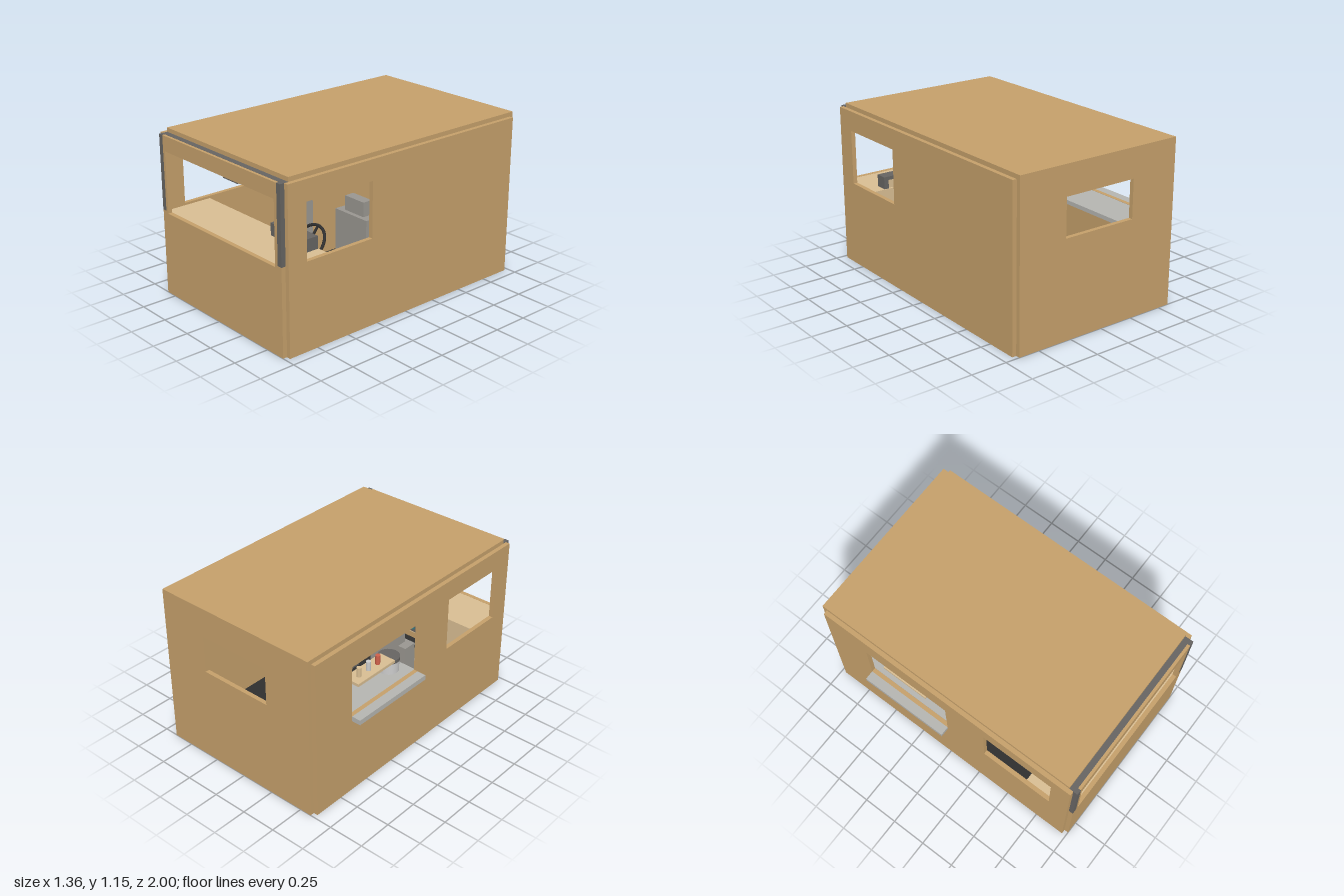
import * as THREE from 'three';

const mat = (color) => new THREE.MeshStandardMaterial({ color });
const wood = mat(0xc49f6a), paleWood = mat(0xd8bd92), dark = mat(0x666462), black = mat(0x2e2e2e);
const grey = mat(0x999690), steel = mat(0xb4b4b0), white = mat(0xe0e0dc), teal = mat(0x2f7f8c);
const red = mat(0xd0604a), mauve = mat(0x74606e);

export function createModel() {
  const root = new THREE.Group();
  const add = (name, geometry, material, parent = root) => {
    const mesh = new THREE.Mesh(geometry, material);
    mesh.name = name;
    parent.add(mesh);
    return mesh;
  };
  // box from its lower and upper limits on each axis
  const box = (name, m, x0, x1, y0, y1, z0, z1, parent) => {
    const b = add(name, new THREE.BoxGeometry(x1 - x0, y1 - y0, z1 - z0), m, parent);
    b.position.set((x0 + x1) / 2, (y0 + y1) / 2, (z0 + z1) / 2);
    return b;
  };
  const rect = (P, u0, u1, v0, v1) => {
    const p = new P();
    p.moveTo(u0, v0);
    p.lineTo(u1, v0);
    p.lineTo(u1, v1);
    p.lineTo(u0, v1);
    p.closePath();
    return p;
  };
  // wall 0.03 thick with rectangular window holes [u0, u1, v0, v1]
  const wall = (name, u0, u1, holes) => {
    const s = rect(THREE.Shape, u0, u1, 0, 1.12);
    holes.forEach((h) => s.holes.push(rect(THREE.Path, ...h)));
    return add(name, new THREE.ExtrudeGeometry(s, { depth: 0.03, bevelEnabled: false }), wood);
  };

  // shell
  wall('frontWall', -0.585, 0.65, [[-0.53, 0.59, 0.585, 1.015]]).position.z = 0.97;
  wall('backWall', -0.585, 0.65, [[-0.235, 0.3, 0.68, 0.945]]).position.z = -1;
  // side walls: u runs along -z
  const cab = [-0.83, -0.305, 0.6, 0.98];
  const left = wall('leftWall', -0.97, 0.97, [cab]);
  const right = wall('rightWall', -0.97, 0.97, [cab, [0, 0.645, 0.58, 0.945]]);
  left.rotation.y = right.rotation.y = Math.PI / 2;
  left.position.x = 0.65;
  right.position.x = -0.615;
  box('roof', wood, -0.585, 0.65, 1.12, 1.15, -1, 0.94);
  box('floor', black, -0.585, 0.65, 0.001, 0.03, -0.97, 0.97);

  // dark trim around the windscreen
  box('windscreenHeader', dark, -0.585, 0.65, 1.09, 1.121, 0.94, 0.98);
  for (const x of [-0.586, 0.616]) box('windscreenPillar', dark, x, x + 0.035, 0.6, 1.121, 0.969, 1.001);

  // dashboard with instrument hood and screen
  box('dashboard', paleWood, -0.585, 0.65, 0.35, 0.584, 0.63, 0.97);
  box('hoodTop', dark, 0.195, 0.55, 0.645, 0.67, 0.635, 0.72);
  for (const x of [0.195, 0.515]) box('hoodSide', dark, x, x + 0.035, 0.584, 0.645, 0.635, 0.72);
  box('instrumentPanel', paleWood, 0.23, 0.515, 0.584, 0.645, 0.645, 0.7);
  box('screenFrame', dark, -0.13, 0.19, 0.37, 0.56, 0.615, 0.635);
  box('screen', teal, -0.11, 0.17, 0.39, 0.54, 0.61, 0.62);

  // steering wheel
  const steering = new THREE.Group();
  steering.name = 'steeringWheel';
  steering.position.set(0.36, 0.54, 0.545);
  steering.rotation.x = -0.66;
  root.add(steering);
  add('rim', new THREE.TorusGeometry(0.12, 0.01, 10, 32), black, steering);
  add('hub', new THREE.CylinderGeometry(0.03, 0.03, 0.02, 20), black, steering).rotation.x = Math.PI / 2;
  for (let i = 0; i < 3; i++) {
    const a = Math.PI / 2 + (i * 2 * Math.PI) / 3;
    const spoke = add('spoke', new THREE.BoxGeometry(0.12, 0.015, 0.01), black, steering);
    spoke.position.set(Math.cos(a) * 0.06, Math.sin(a) * 0.06, 0);
    spoke.rotation.z = a;
  }

  // mirror and sun visors
  box('mirror', dark, -0.04, 0.105, 0.945, 1.03, 0.88, 0.9);
  box('mirrorStem', dark, 0.025, 0.04, 1.03, 1.12, 0.885, 0.895);
  box('sunVisor', paleWood, -0.51, -0.11, 0.98, 1.0, 0.77, 0.93);
  box('sunVisor', paleWood, 0.175, 0.57, 0.98, 1.0, 0.77, 0.93);

  // seats
  for (const x of [-0.2925, 0.3525]) {
    const seat = new THREE.Group();
    seat.name = 'seat';
    seat.position.x = x;
    root.add(seat);
    box('seatBase', dark, -0.11, 0.11, 0.03, 0.2, 0.14, 0.42, seat);
    box('cushion', grey, -0.1475, 0.1475, 0.2, 0.28, 0.09, 0.48, seat);
    box('backrest', grey, -0.1475, 0.1475, 0.28, 0.63, 0.09, 0.19, seat);
    box('headrest', grey, -0.0875, 0.0875, 0.63, 0.73, 0.09, 0.16, seat);
  }

  // serving side: outer ledge, inner counter, hanging cabinet
  box('servingLedge', steel, -0.68, -0.615, 0.545, 0.58, -0.645, 0);
  box('counterBase', wood, -0.584, -0.34, 0.03, 0.55, -0.8, 0);
  box('counterTop', steel, -0.584, -0.32, 0.55, 0.579, -0.8, 0.01);
  box('upperCabinet', wood, -0.584, -0.36, 0.97, 1.12, -0.8, 0);

  // canister with lid
  add('canister', new THREE.CylinderGeometry(0.07, 0.07, 0.081, 32), white).position.set(-0.453, 0.62, -0.1);
  add('canisterLid', new THREE.CylinderGeometry(0.074, 0.074, 0.025, 32), dark).position.set(-0.453, 0.6725, -0.1);

  // bottle shelf
  box('bottleShelf', paleWood, -0.584, -0.465, 0.735, 0.755, -0.55, -0.2);
  [red, white, paleWood].forEach((m, i) => {
    const bottle = add('bottle', new THREE.CylinderGeometry(0.016, 0.016, 0.065, 16), m);
    bottle.position.set(-0.527, 0.7875, -0.3 - i * 0.09);
  });

  // ceiling hatch lining
  box('hatchFrame', grey, -0.33, 0.12, 1.07, 1.12, -0.87, -0.37);
  box('hatchPanel', mauve, -0.29, 0.08, 1.065, 1.075, -0.83, -0.41);
  return root;
}
